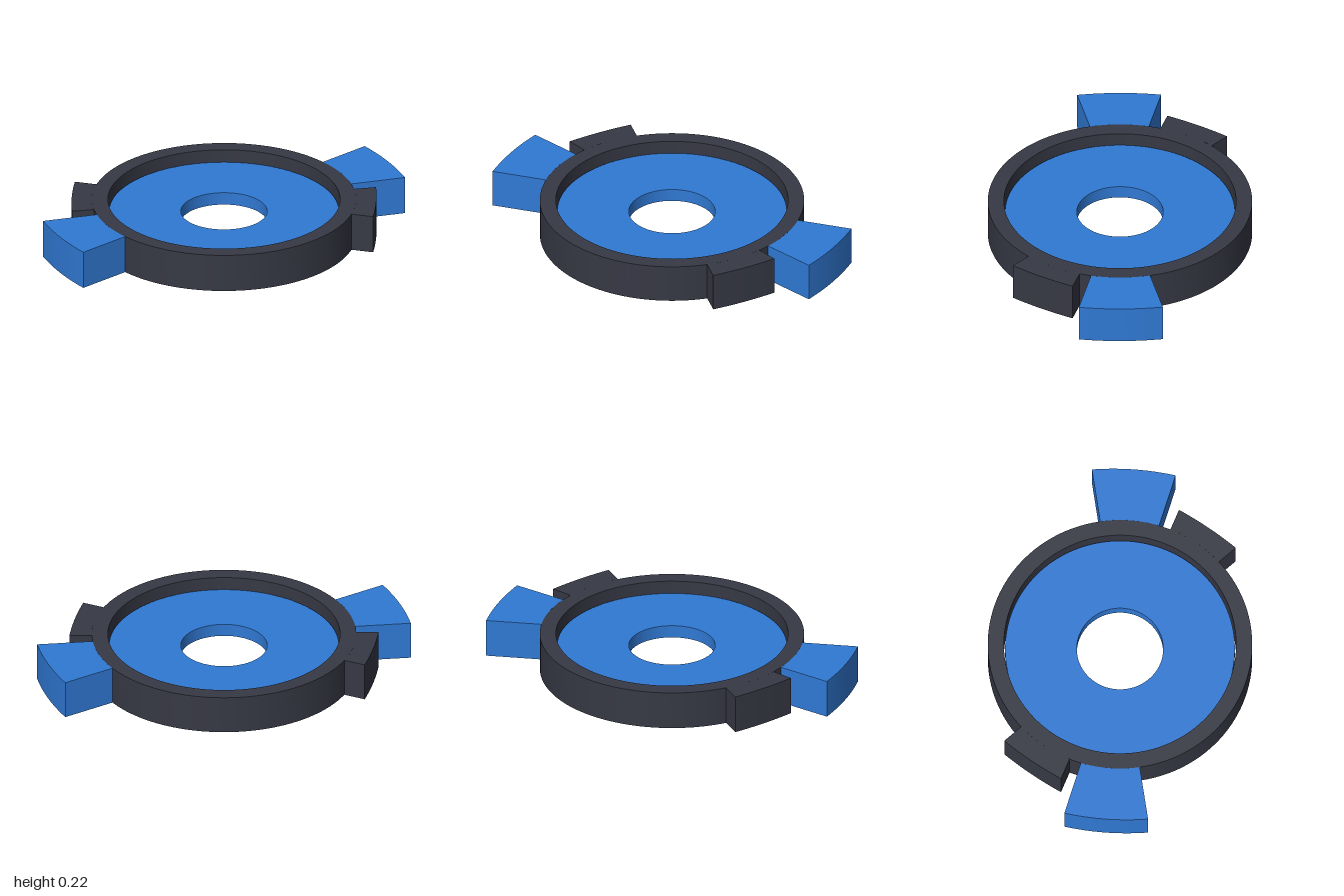
import * as THREE from 'three';
import { toCreasedNormals } from 'three/addons/utils/BufferGeometryUtils.js';

const HEIGHT = 0.22;
const RING_R = 0.74;
const dark = new THREE.MeshStandardMaterial({ color: 0x363844 });
const blue = new THREE.MeshStandardMaterial({ color: 0x3079d4 });

// Extrude a plan outline upward from y = bottom
function slab(name, shape, bottom, height, material) {
  const extruded = new THREE.ExtrudeGeometry(shape, { depth: height, bevelEnabled: false, curveSegments: 64 });
  extruded.rotateX(-Math.PI / 2);
  const mesh = new THREE.Mesh(toCreasedNormals(extruded, 0.5), material);
  mesh.position.y = bottom;
  mesh.name = name;
  return mesh;
}

// Flat annulus outline
function annulus(outer, inner) {
  const shape = new THREE.Shape().absarc(0, 0, outer, 0, Math.PI * 2, false);
  shape.holes.push(new THREE.Path().absarc(0, 0, inner, 0, Math.PI * 2, true));
  return shape;
}

// Radial tab with a gently bowed outer edge and an inner edge that hugs the ring
function tab(halfAngle, outer, bow) {
  const c = Math.cos(halfAngle), s = Math.sin(halfAngle);
  const shape = new THREE.Shape();
  shape.moveTo(RING_R * c, -RING_R * s);
  shape.lineTo(outer * c, -outer * s);
  shape.quadraticCurveTo(outer * c + 2 * bow, 0, outer * c, outer * s);
  shape.lineTo(RING_R * c, RING_R * s);
  shape.absarc(0, 0, RING_R, halfAngle, -halfAngle, true);
  return shape;
}

export function createModel() {
  const model = new THREE.Group();
  model.name = 'ringWithTabs';

  // Outer ring and the thinner disc floating at its mid height
  model.add(slab('outerRing', annulus(RING_R, 0.65), 0, HEIGHT, dark));
  model.add(slab('innerDisc', annulus(0.643, 0.242), HEIGHT / 3, HEIGHT / 3, blue));

  // Opposed pairs of tabs
  const deg = Math.PI / 180;
  ['right', 'left'].forEach((side, i) => {
    const turn = (1 - i) * Math.PI;
    const lug = slab(side + 'Lug', tab(13 * deg, 0.866, 0.009), 0, HEIGHT, dark);
    lug.rotation.y = turn;
    const wing = slab(side + 'Wing', tab(12.9 * deg, 1.053, 0.018), 0, HEIGHT, blue);
    wing.rotation.y = turn + 31.1 * deg;
    model.add(lug, wing);
  });

  return model;
}
